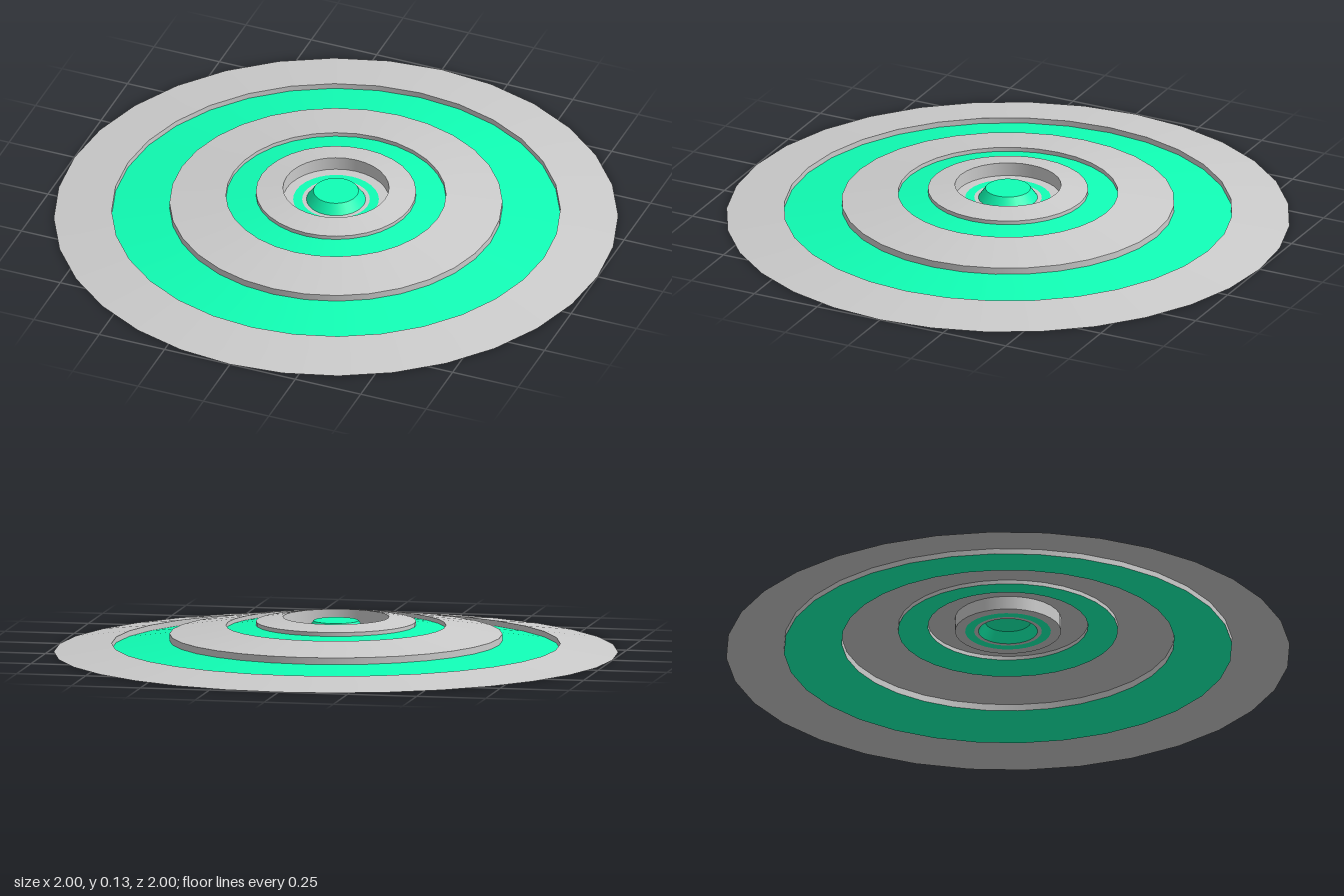
import * as THREE from 'three';

const grey = new THREE.MeshStandardMaterial({ color: 0xcccccc, side: THREE.DoubleSide });
const green = new THREE.MeshStandardMaterial({ color: 0x10ffb5, side: THREE.DoubleSide });

// Profile bands from the rim inwards: name, end radius, end height, material
const START = [1, 0];
const BANDS = [
  ['outerRing', 0.795, 0.03, grey],
  ['outerRingStep', 0.795, 0.01, grey],
  ['wideGlowRing', 0.59, 0.041, green],
  ['middleRingWall', 0.59, 0.065, grey],
  ['middleRing', 0.39, 0.096, grey],
  ['middleRingStep', 0.39, 0.081, grey],
  ['narrowGlowRing', 0.284, 0.097, green],
  ['innerRingWall', 0.284, 0.111, grey],
  ['innerRing', 0.188, 0.126, grey],
  ['recessWall', 0.188, 0.077, grey],
  ['recessFloor', 0.152, 0.077, grey],
  ['thinGlowRing', 0.12, 0.077, green],
  ['recessInnerFloor', 0.105, 0.077, grey],
  ['hubSide', 0.08, 0.113, green],
  ['hubTop', 0, 0.113, green],
];

export function createModel() {
  const group = new THREE.Group();
  group.name = 'steppedDisc';
  let previous = new THREE.Vector2(...START);
  // Each band is its own revolved strip, so the edges between bands stay sharp
  for (const [name, radius, height, material] of BANDS) {
    const next = new THREE.Vector2(radius, height);
    const mesh = new THREE.Mesh(new THREE.LatheGeometry([previous, next], 32), material);
    mesh.name = name;
    group.add(mesh);
    previous = next;
  }
  return group;
}
